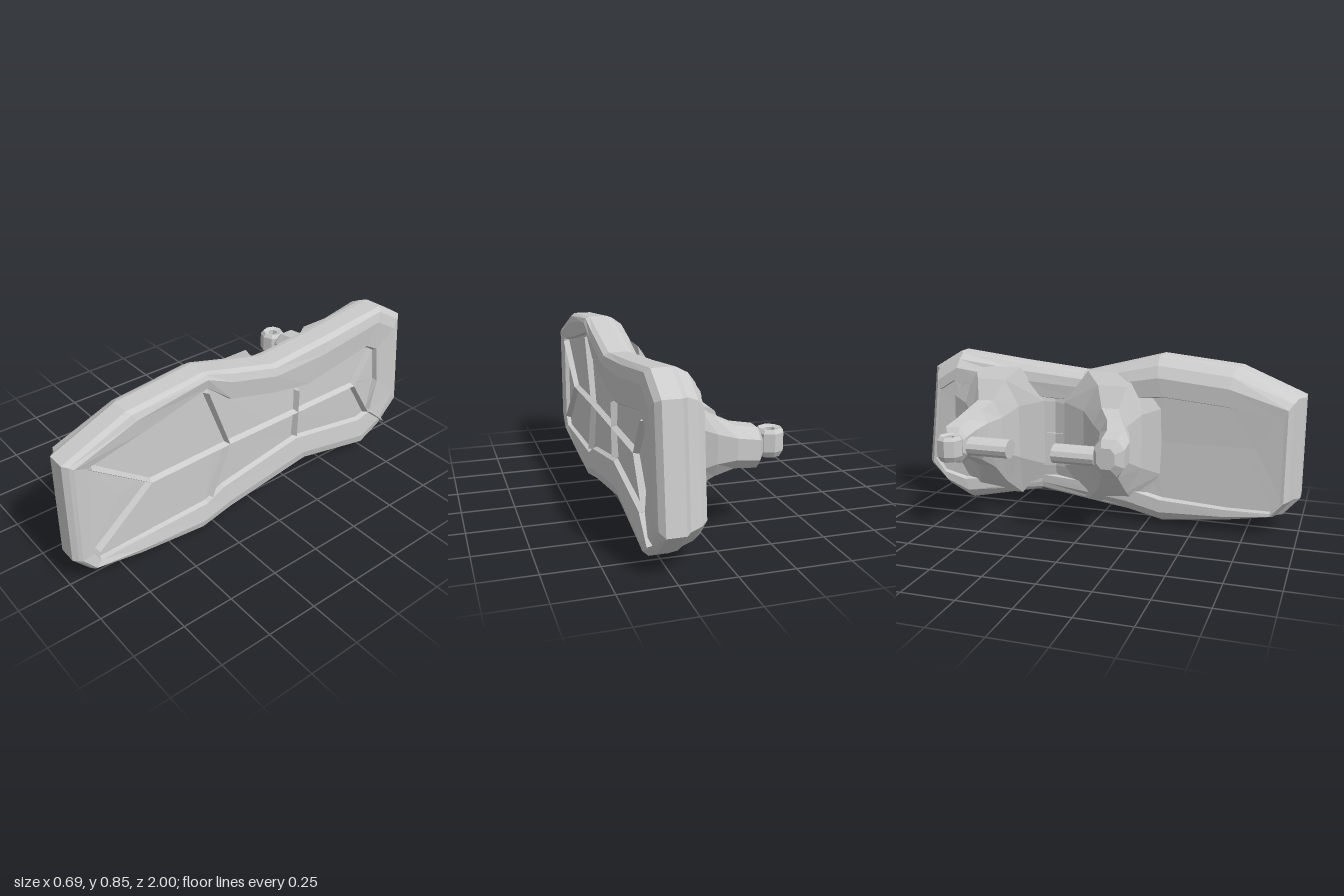
import * as THREE from 'three';

const material = new THREE.MeshStandardMaterial({ color: 0xcccccc, flatShading: true });

// Skin a list of equal-length rings of [x, y, z], close both ends, face outwards
function loft(name, rings) {
  const n = rings[0].length, pts = rings.flat(), tris = [];
  for (let r = 0; r < rings.length - 1; r++) {
    for (let i = 0; i < n; i++) {
      const a = r * n + i, b = r * n + (i + 1) % n;
      tris.push([a, b, a + n], [b, b + n, a + n]);
    }
  }
  const last = (rings.length - 1) * n;
  for (let i = 1; i < n - 1; i++) {
    tris.push([0, i + 1, i], [last, last + i, last + i + 1]);
  }
  const v = pts.map(p => new THREE.Vector3(...p));
  let volume = 0;
  for (const [a, b, c] of tris) volume += v[a].dot(v[b].clone().cross(v[c]));
  if (volume < 0) tris.forEach(t => t.reverse());
  const geometry = new THREE.BufferGeometry();
  geometry.setAttribute('position', new THREE.Float32BufferAttribute(tris.flat().flatMap(i => pts[i]), 3));
  geometry.computeVertexNormals();
  const mesh = new THREE.Mesh(geometry, material);
  mesh.name = name;
  return mesh;
}

// Plate silhouette, front recess edge and back recess edge, paired points as [z, y]
const outer = [[1, .18], [1, .68], [.69, .81], [.3, .85], [.15, .81], [-.1, .745], [-.45, .78], [-.79, .82],
  [-.94, .73], [-1, .2], [-.88, .09], [-.75, .02], [-.33, .11], [.15, .04], [.33, 0], [.68, .04], [.92, .09]];
const inner = [[.9, .18], [.89, .63], [.6, .69], [.29, .77], [.16, .66], [-.1, .59], [-.3, .55], [-.7, .62],
  [-.77, .58], [-.8, .4], [-.77, .22], [-.7, .2], [-.25, .28], [.2, .2], [.29, .15], [.6, .14], [.87, .13]];
const back = [[.92, .17], [.92, .58], [.65, .62], [.33, .65], [.15, .63], [-.1, .6], [-.45, .61], [-.8, .67],
  [-.88, .62], [-.92, .25], [-.87, .18], [-.75, .15], [-.33, .2], [.15, .18], [.33, .14], [.65, .12], [.87, .12]];

const MID = -0.245; // z midway between the arms
const SPINE = 0.425; // height of the centre line

// Hollow of the back face between the arms
const dipAt = z => Math.max(0, 1 - Math.abs(z - MID) / 0.45);

// Ring at depth x, blended from the silhouette (t = 0) to a recess edge (t = 1)
const plateRing = (x, t, edge, { dip = 0, length = 1 } = {}) => outer.map(([z, y], i) => {
  const zz = THREE.MathUtils.lerp(z, edge[i][0], t) * length;
  return [x + dip * dipAt(zz), THREE.MathUtils.lerp(y, edge[i][1], t), zz];
});
const spineRing = (x, edge, dip = 0) => edge.map(([z]) => [x + dip * dipAt(z * 0.85), SPINE, z * 0.85]);

// Triangular ridge on the front floor between two [z, y] points
function rib(a, b, crest = 0.33, width = 0.022) {
  const d = new THREE.Vector2(b[0] - a[0], b[1] - a[1]).normalize().multiplyScalar(width);
  const end = ([z, y]) => [[.28, y + d.x, z - d.y], [crest, y, z], [.28, y - d.x, z + d.y]];
  return loft('rib', [end(a), end(b)]);
}

// Chamfered rectangle across the arm at x
function armRing([x, y0, y1, z0, z1], mirrored) {
  const cy = (y1 - y0) * 0.25, cz = (z1 - z0) * 0.25;
  const ring = [[y0, z0 + cz], [y0 + cy, z0], [y1 - cy, z0], [y1, z0 + cz],
    [y1, z1 - cz], [y1 - cy, z1], [y0 + cy, z1], [y0, z1 - cz]];
  return ring.map(([y, z]) => [x, y, mirrored ? 2 * MID - z : z]);
}

export function createModel() {
  const model = new THREE.Group();

  // Waisted plate, slightly recessed on both faces
  model.add(loft('plate', [
    spineRing(.305, inner), plateRing(.3, 1, inner), plateRing(.322, .94, inner), plateRing(.332, .35, inner),
    plateRing(.322, .1, inner, { length: .99 }), plateRing(.3, 0, inner), plateRing(.215, 0, inner),
    plateRing(.19, .04, back, { length: .972 }), plateRing(.14, .22, back, { dip: .03, length: .968 }),
    plateRing(.11, .5, back, { dip: .06, length: .968 }), plateRing(.112, .95, back, { dip: .06, length: .99 }),
    plateRing(.145, 1, back, { dip: .04 }), spineRing(.15, back, .04),
  ]));

  // Ribs on the front face
  const ribs = new THREE.Group();
  ribs.name = 'frontRibs';
  const hub = [.17, .43], fork = [-.63, .43];
  [[[.29, .75], hub], [[.27, .17], hub], [[.6, .42], hub], [hub, fork], [[.88, .62], [.6, .42]],
    [[.88, .18], [.6, .42]], [[-.25, .55], [-.25, .29]], [fork, [-.74, .6]], [fork, [-.76, .22]],
    [[-.77, .22], [-.88, .12], .344],
  ].forEach(([a, b, crest]) => ribs.add(rib(a, b, crest)));
  model.add(ribs);

  // Saddle on the back, hollowed between the arms
  const saddle = [[.3, .14, .18, .67], [.18, .105, .13, .7], [.02, .095, .17, .66], [-.12, .135, .15, .67],
    [MID, .165, .15, .69], [-.37, .135, .15, .69], [-.51, .095, .17, .67], [-.67, .105, .13, .7], [-.79, .14, .18, .67]];
  model.add(loft('saddle', saddle.map(([z, x, y0, y1]) => [
    [.2, y0, z], [x + .02, y0, z], [x, y0 + .1, z], [x, y1 - .1, z], [x + .02, y1, z], [.2, y1, z],
  ])));

  // Two flared arms with a flattened peg on the inner side of each
  const profile = [[.15, .09, .76, -.81, -.3], [.1, .16, .7, -.72, -.42], [.04, .25, .6, -.66, -.49],
    [-.02, .3, .56, -.69, -.54], [-.1, .335, .525, -.715, -.565], [-.2, .33, .508, -.72, -.57],
    [-.228, .37, .47, -.68, -.59]];
  for (const mirrored of [false, true]) {
    const arm = new THREE.Group();
    arm.name = mirrored ? 'frontArm' : 'rearArm';
    arm.add(loft('armBody', profile.map(p => armRing(p, mirrored))));
    const peg = new THREE.Mesh(new THREE.CylinderGeometry(.062, .062, .21, 12), material);
    peg.name = 'peg';
    peg.rotation.x = Math.PI / 2;
    peg.scale.z = 0.75;
    peg.position.set(-.16, .41, mirrored ? 2 * MID + .465 : -.465);
    arm.add(peg);
    model.add(arm);
  }

  // Small eyelet at the tip of the rear arm
  const eyeletProfile = [[.024, -.05], [.048, -.062], [.064, -.035], [.064, .045], [.05, .062], [.024, .055], [.024, -.05]];
  const eyelet = new THREE.Mesh(
    new THREE.LatheGeometry(eyeletProfile.map(p => new THREE.Vector2(...p)), 8), material);
  eyelet.name = 'eyelet';
  eyelet.position.set(-.281, .425, -.622);
  model.add(eyelet);

  return model;
}
